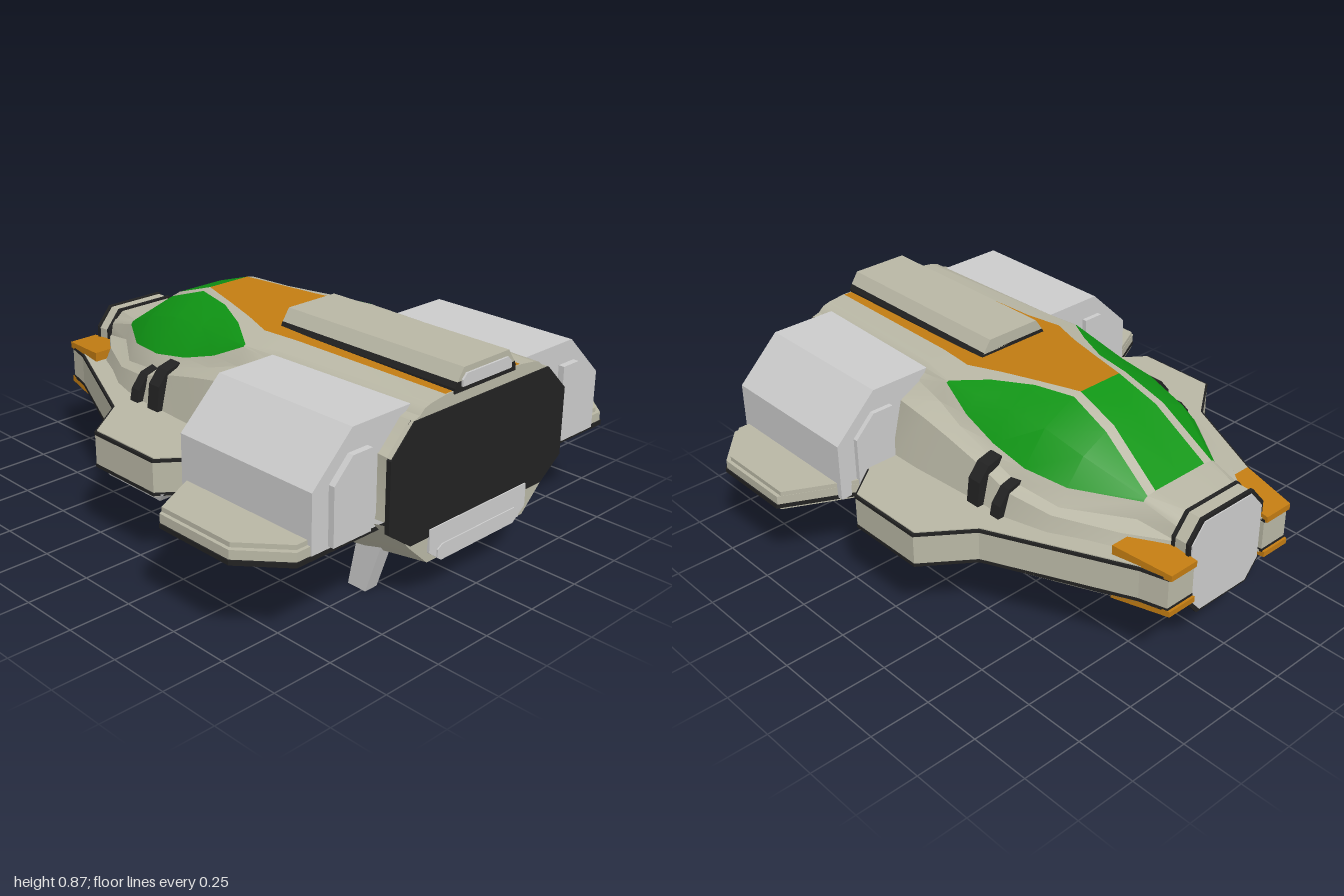
import * as THREE from 'three';
import { toCreasedNormals } from 'three/addons/utils/BufferGeometryUtils.js';

const mat = (color) => new THREE.MeshStandardMaterial({ color });
const HULL = mat(0xb9b7a5), GREY = mat(0xcccccc), BLACK = mat(0x222222);
const ORANGE = mat(0xc27c12), GREEN = mat(0x0f9514);

const flip = (pts) => pts.map(([x, y]) => [-x, y]);
const mirror = (pts) => [...pts, ...flip(pts).reverse()];

// half octagon, mirrored: half width, bottom, top, corner cut
const octagon = (w, y0, y1, c) =>
  mirror([[w - c, y1], [w, y1 - c * 1.2], [w, y0 + c * 1.2], [w - c, y0]]);

// upper hull section: centre, stripe edge, window top, bulge, window bottom, shoulder in/out, wing root
function section(z, topY, stripeX, winTop, winLow, shoulderIn, shoulderOut, rootX) {
  const [ax, ay] = winTop, [cx, cy] = winLow;
  const bulge = [(ax + cx) / 2 + 0.11 * (ay - cy), (ay + cy) / 2 + 0.11 * (cx - ax)];
  return { z, pts: [[0, topY], [stripeX, topY], winTop, bulge, winLow, shoulderIn, shoulderOut, [rootX, 0.4]] };
}

// belly section, from the wing edge in to the centre
const bellySection = (z, edge, chine, keel) => ({ z, pts: [edge, chine, keel, [0, keel[1]]] });

export function createModel() {
  const model = new THREE.Group();

  function add(name, geo, material) {
    const m = new THREE.Mesh(geo, material);
    m.name = name;
    model.add(m);
    return m;
  }

  // outline in x/y, pushed along z
  function prism(name, pts, z0, z1, material) {
    const shape = new THREE.Shape(pts.map(([x, y]) => new THREE.Vector2(x, y)));
    const geo = new THREE.ExtrudeGeometry(shape, { depth: z1 - z0, bevelEnabled: false });
    add(name, geo.translate(0, 0, z0), material);
  }

  // outline in x/z, pushed along y
  function plate(name, pts, y0, y1, material, s = 1) {
    const shape = new THREE.Shape(pts.map(([x, z]) => new THREE.Vector2(x * s, z * s)));
    const geo = new THREE.ExtrudeGeometry(shape, { depth: y1 - y0, bevelEnabled: false });
    return add(name, geo.rotateX(Math.PI / 2).translate(0, y1, 0), material);
  }

  // mirrored skin between columns a..b of the cross-sections r0..r1
  function skin(name, rows, r0, r1, a, b, material) {
    const v = [];
    const put = (s, ...ps) => ps.forEach(([x, y, z]) => v.push(s * x, y, z));
    const p = (i, j) => [...rows[i].pts[j], rows[i].z];
    for (let i = r0; i < r1; i++) {
      for (let j = a; j < b; j++) {
        const A = p(i, j), B = p(i, j + 1), C = p(i + 1, j), D = p(i + 1, j + 1);
        put(1, A, B, C, B, D, C);
        put(-1, A, C, B, B, C, D);
      }
    }
    const geo = new THREE.BufferGeometry();
    geo.setAttribute('position', new THREE.Float32BufferAttribute(v, 3));
    add(name, toCreasedNormals(geo, 0.45), material);
  }

  // six-sided block between a lower and an upper rectangle [x0, x1, z0, z1, y]
  function wedge(name, low, high, material) {
    const geo = new THREE.BoxGeometry(1, 1, 1);
    const pos = geo.attributes.position;
    for (let i = 0; i < pos.count; i++) {
      const r = pos.getY(i) > 0 ? high : low;
      pos.setXYZ(i, pos.getX(i) > 0 ? r[1] : r[0], r[4], pos.getZ(i) > 0 ? r[3] : r[2]);
    }
    geo.computeVertexNormals();
    add(name, geo, material);
  }

  // upper hull, rear to nose
  const top = [
    section(0.98, .79, .2, [.275, .78], [.33, .75], [.36, .74], [.465, .635], .465),
    section(0.3, .8, .22, [.31, .782], [.34, .75], [.365, .73], [.46, .68], .53),
    section(0.14, .805, .24, [.335, .773], [.345, .767], [.38, .7], [.46, .66], .53),
    section(0, .812, .19, [.245, .8], [.37, .7], [.4, .66], [.46, .635], .52),
    section(-0.16, .821, .145, [.17, .814], [.38, .65], [.41, .62], [.46, .6], .51),
    section(-0.33, .83, .1, [.135, .822], [.38, .62], [.41, .565], [.46, .55], .51),
    section(-0.51, .77, .11, [.15, .76], [.34, .605], [.38, .54], [.42, .525], .46),
    section(-0.74, .61, .13, [.17, .605], [.19, .59], [.22, .53], [.3, .51], .36),
    section(-0.9, .595, .12, [.15, .57], [.175, .55], [.185, .5], [.19, .48], .2),
  ];
  skin('topStripe', top, 0, 5, 0, 1, ORANGE);
  skin('frontWindow', top, 5, 7, 0, 1, GREEN);
  skin('noseDeck', top, 7, 8, 0, 4, HULL);
  skin('canopyFrame', top, 0, 7, 1, 2, HULL);
  skin('rearShoulder', top, 0, 2, 2, 4, HULL);
  skin('sideWindows', top, 2, 7, 2, 4, GREEN);
  skin('hullSides', top, 0, 8, 4, 7, HULL);

  const belly = [
    bellySection(0.98, [.465, .39], [.36, .27], [.265, .18]),
    bellySection(0.31, [.6, .32], [.48, .195], [.27, .19]),
    bellySection(-0.33, [.6, .32], [.45, .2], [.25, .2]),
    bellySection(-0.96, [.33, .32], [.26, .3], [.18, .29]),
  ];
  skin('belly', belly, 0, 3, 0, 3, HULL);

  // rear end
  prism('rearBulkhead', mirror([...top[0].pts.slice(1), ...belly[0].pts.slice(0, 3)]), 0.965, 0.985, HULL);
  prism('rearDoor', mirror([[.36, .74], [.47, .63], [.47, .36], [.36, .28]]), 0.97, 0.99, BLACK);
  prism('bellyRamp', mirror([[.265, .31], [.265, .22], [.2, .17]]), 0.31, 0.995, GREY);
  prism('rampStep', mirror([[.2, .235], [.225, .22], [.225, .19]]), 0.99, 1, GREY);

  // raised spine
  prism('spineTrim', mirror([[.163, .78], [.163, .8], [.153, .82]]), 0.145, 0.99, BLACK);
  prism('spine', mirror([[.155, .815], [.12, .867]]), 0.145, 0.99, HULL);
  prism('spineEnd', mirror([[.13, .8], [.13, .825], [.11, .845]]), 0.98, 0.998, GREY);

  // nose neck and collar
  prism('noseNeck', octagon(.18, .22, .585, .06), -0.9, -0.5, HULL);
  prism('noseCollar', octagon(.195, .205, .6, .065), -0.96, -0.89, HULL);
  for (const z of [-0.9, -0.967]) prism('collarRim', octagon(.2, .2, .605, .065), z, z + 0.014, BLACK);
  prism('nosePlate', octagon(.187, .213, .592, .062), -0.972, -0.96, GREY);

  // parts that come in pairs
  const frontWing = [[.19, -.99], [.32, -.99], [.35, -.88], [.605, -.33], [.795, -.19], [.795, .15], [.6, .3], [.19, .3]];
  const rearWing = [[.4, .21], [.58, .21], [.975, .41], [.975, .76], [.83, .925], [.4, .925]];
  const prongTip = [[.19, -1], [.32, -1], [.365, -.76], [.2, -.76]];
  const nacelle = [[.25, .36], [.765, .36], [.765, .595], [.585, .77], [.25, .77]];
  const panel = [[.515, .38], [.69, .38], [.69, .6], [.605, .685], [.515, .685]];
  for (const side of [1, -1]) {
    const m = (pts) => (side > 0 ? pts : flip(pts));
    const mx = ([a, b, ...r]) => (side > 0 ? [a, b, ...r] : [-b, -a, ...r]);

    // wings as stacked plates with dark edge lines
    plate('frontWingBottom', m(frontWing), .31, .32, HULL, .987);
    plate('frontWingLowerTrim', m(frontWing), .315, .328, BLACK);
    plate('frontWing', m(frontWing), .328, .446, HULL, .997);
    plate('frontWingUpperTrim', m(frontWing), .446, .458, BLACK);
    plate('frontWingTop', m(frontWing), .455, .462, HULL, .987);
    plate('rearWingBottom', m(rearWing), .346, .354, HULL, .985);
    plate('rearWingTrim', m(rearWing), .352, .37, BLACK);
    plate('rearWingEdge', m(rearWing), .37, .405, HULL, .995);
    plate('rearWingTop', m(rearWing), .405, .423, HULL, .98);

    // coloured prong tips above and below the nose, thinner at the front
    const upper = plate('upperProngTip', m(prongTip), .45, .5, ORANGE);
    const lower = plate('lowerProngTip', m(prongTip), .272, .32, ORANGE);
    for (const [mesh, edge, dy] of [[upper, .5, -.025], [lower, .272, .025]]) {
      const pos = mesh.geometry.attributes.position;
      for (let i = 0; i < pos.count; i++) {
        if (Math.abs(pos.getY(i) - edge) < .001 && pos.getZ(i) < -.9) pos.setY(i, edge + dy);
      }
      mesh.geometry.computeVertexNormals();
    }

    // nacelle with a raised panel at each end
    prism('nacelle', m(nacelle), 0.28, 0.925, GREY);
    prism('nacelleRearPanel', m(panel), 0.92, 0.95, GREY);
    prism('nacelleFrontPanel', m(panel), 0.26, 0.29, GREY);

    // dark bands over the shoulder
    const band = (d) => m([[.38, .44], [.395, .632 - d], [.46, .615 - d], [.505, .56 - d], [.52, .44]]);
    prism('shoulderBand', band(0), -0.225, -0.165, BLACK);
    prism('shoulderBand', band(.05), -0.335, -0.29, BLACK);

    wedge('underWingPod', mx([.645, .765, -.15, .15, .286]), mx([.635, .775, -.175, .175, .32]), GREY);
    wedge('rearLeg', mx([.275, .335, .68, .765, 0]), mx([.275, .335, .735, .86, .28]), GREY);
  }
  wedge('noseLeg', [-.055, .055, -.635, -.55, 0], [-.055, .055, -.725, -.61, .26], GREY);

  return model;
}
